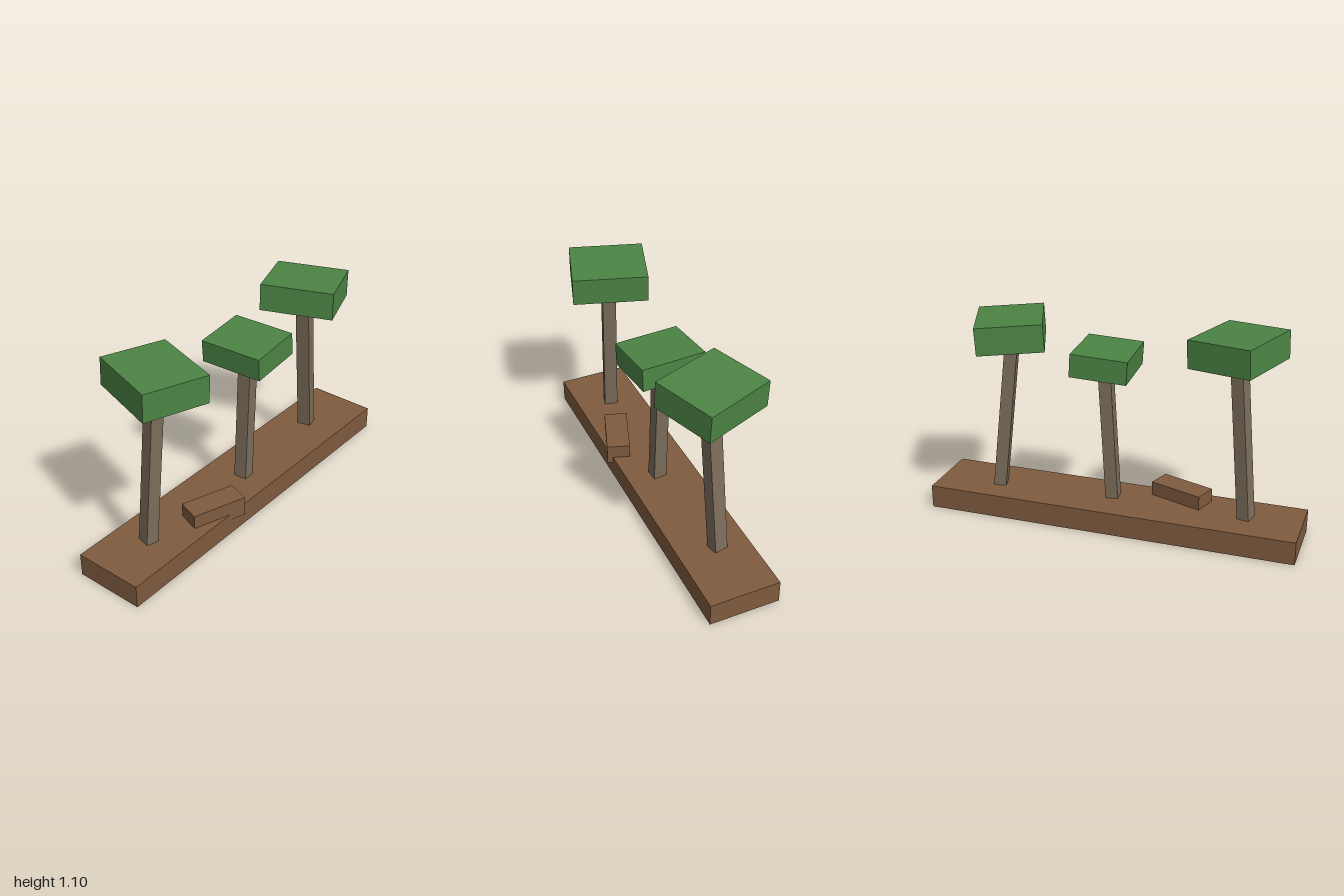
import * as THREE from 'three';

const flat = (name, color) => {
  const m = new THREE.MeshStandardMaterial({ color, side: THREE.DoubleSide, flatShading: true });
  m.name = name;
  return m;
};

// Box without its underside, resting on its local y = 0
function openBox(w, h, d) {
  const geo = new THREE.BoxGeometry(w, h, d).translate(0, h / 2, 0);
  const index = Array.from(geo.index.array);
  index.splice(18, 6);
  geo.setIndex(index);
  geo.clearGroups();
  return geo;
}

// Open box placed by the centre of its underside, tilted sideways and then turned
function part(name, material, size, position, turn = 0, tilt = 0) {
  const mesh = new THREE.Mesh(openBox(...size), material);
  mesh.name = name;
  mesh.position.set(...position);
  mesh.rotation.set(0, turn, tilt);
  return mesh;
}

export function createModel() {
  const soil = flat('soil brown', 0x7f5b3f);
  const bark = flat('bark grey brown', 0x7b6d5b);
  const leaf = flat('leaf green', 0x4c8444);

  const model = new THREE.Group();
  model.name = 'treeRow';

  // Ground slab and the fallen log overhanging its front edge
  model.add(part('ground', soil, [2, 0.125, 0.375], [0, 0, -0.007]));
  model.add(part('fallenLog', soil, [0.3, 0.11, 0.125], [-0.336, 0.09, 0.101], -0.335));

  // Leaning trunks with flat canopies
  const trees = [
    { name: 'rightTree',
      trunk: [[0.067, 0.83, 0.073], [-0.708, 0.125, -0.01], -0.25, -0.09],
      canopy: [[0.346, 0.146, 0.398], [-0.632, 0.952, 0.008], -0.308, -0.04] },
    { name: 'middleTree',
      trunk: [[0.067, 0.715, 0.073], [0.02, 0.125, 0.013], 0.08, -0.055],
      canopy: [[0.298, 0.122, 0.345], [0.056, 0.837, 0.011], 0.06, 0.06] },
    { name: 'leftTree',
      trunk: [[0.067, 0.82, 0.075], [0.658, 0.125, -0.028], 0.225, 0.113],
      canopy: [[0.346, 0.146, 0.392], [0.567, 0.94, -0.011], 0.367, -0.05] },
  ];
  for (const { name, trunk, canopy } of trees) {
    const tree = new THREE.Group();
    tree.name = name;
    tree.add(part('trunk', bark, ...trunk), part('canopy', leaf, ...canopy));
    model.add(tree);
  }
  return model;
}
